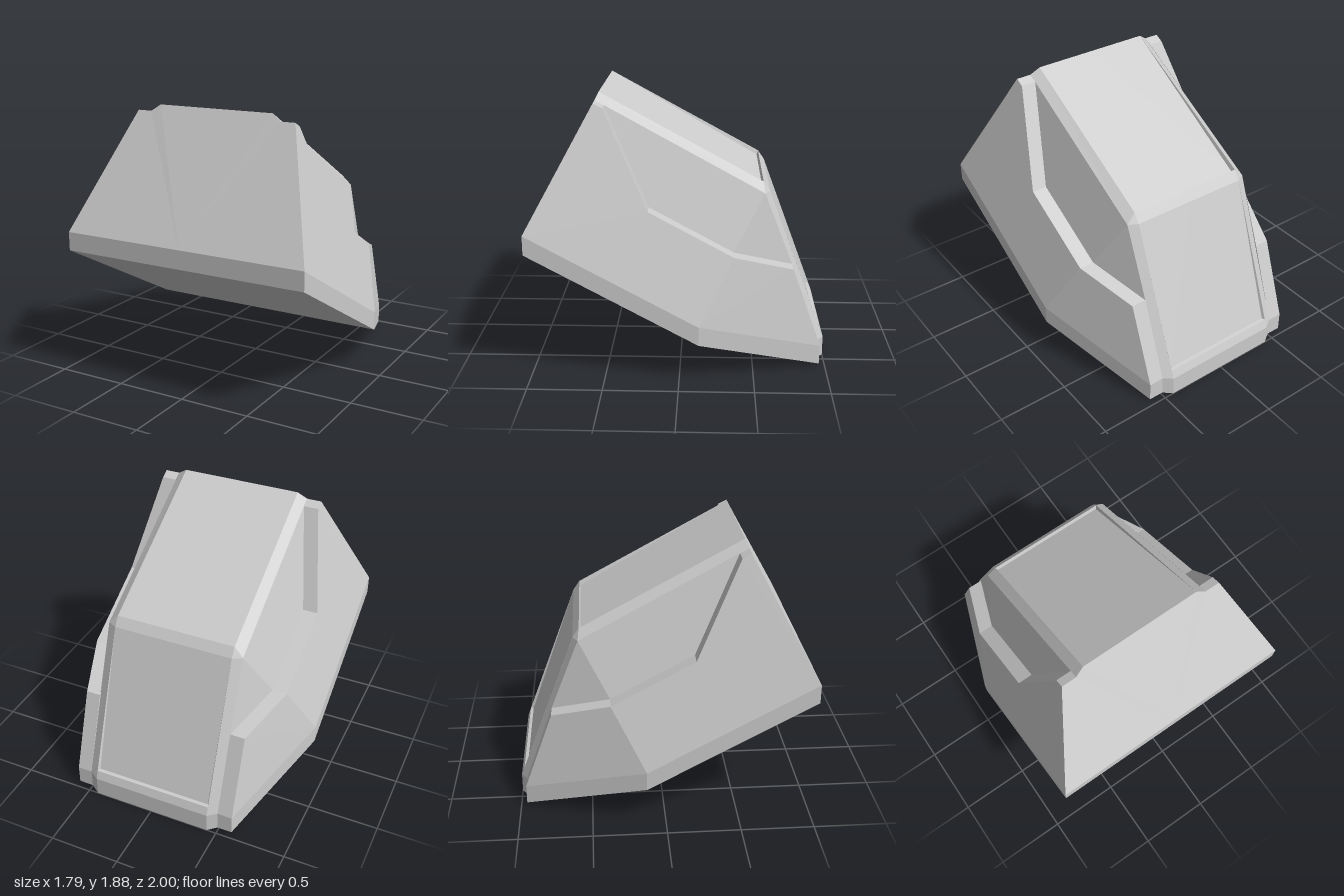
import * as THREE from 'three';

// Corner points of the model's left half (+x); the right half is mirrored.
const P = {
  // skirt, top and bottom edges
  skirtFront: [0.895, 1.03, 1], baseFront: [0.895, 0.9, 1],
  skirtMid: [0.895, 0.41, -0.13], baseMid: [0.895, 0.28, -0.13],
  skirtRear: [0.6, 0.15, -0.96], baseRear: [0.6, 0.015, -0.96],
  skirtIn: [0.495, 0.15, -0.96], baseIn: [0.495, 0.015, -0.96],
  skirtTail: [0.43, 0.14, -1], baseTail: [0.43, 0, -1],
  // top of the front face
  brow: [0.6, 1.83, 0.56], browIn: [0.495, 1.83, 0.56], browTop: [0.43, 1.875, 0.54],
  // rear end of the roof
  eave: [0.495, 1.21, -0.565], eaveLow: [0.43, 1.21, -0.6], eaveTop: [0.43, 1.275, -0.555],
  // sunk corners of the roof and rear panels
  roofSunk: [0.42, 1.245, -0.545], sill: [0.43, 0.2, -0.978], sillSunk: [0.42, 0.205, -0.955],
};
// Side opening: outer edge of its ledge, and the inner edge set inwards
const opening = [[0.6, 1.8, 0.5], [0.74, 1.15, 0.205], [0.74, 0.84, -0.36], [0.6, 0.71, -0.76]];
opening.forEach((p, i) => {
  P['out' + i] = p;
  P['in' + i] = [p[0] - 0.105, p[1], p[2]];
});

// A leading "-" puts a point on the centre line
const point = (name) => (name[0] === '-' ? [0, ...P[name.slice(1)].slice(1)] : P[name]);

// Faces are lists of corner names, counter-clockwise from outside
function part(name, faces) {
  const pos = [];
  for (const face of faces) {
    const c = face.split(' ').map(point);
    for (let i = 1; i < c.length - 1; i++) {
      pos.push(...c[0], ...c[i], ...c[i + 1]);
      for (const [x, y, z] of [c[0], c[i + 1], c[i]]) pos.push(-x, y, z);
    }
  }
  const geometry = new THREE.BufferGeometry();
  geometry.setAttribute('position', new THREE.Float32BufferAttribute(pos, 3));
  geometry.computeVertexNormals();
  const mesh = new THREE.Mesh(geometry, new THREE.MeshStandardMaterial({
    color: 0xcccccc, flatShading: true, side: THREE.DoubleSide,
  }));
  mesh.name = name;
  return mesh;
}

export function createModel() {
  const model = new THREE.Group();
  model.name = 'cabin';
  model.add(
    part('frontFace', ['-skirtFront skirtFront brow browIn browTop -browTop']),
    part('skirt', [
      '-baseFront baseFront skirtFront -skirtFront',
      'baseFront baseMid skirtMid skirtFront',
      'baseMid baseRear skirtRear skirtMid',
      'baseRear baseIn skirtIn skirtRear',
      'baseIn baseTail skirtTail skirtIn',
      'baseTail -baseTail -skirtTail skirtTail',
    ]),
    part('underside', [
      'baseFront -baseFront -baseMid baseMid',
      '-baseMid -baseTail baseTail baseIn baseRear baseMid',
    ]),
    part('outerSideWalls', [
      'skirtFront out1 out0 brow',
      'skirtFront skirtMid out2 out1',
      'skirtMid skirtRear out3 out2',
      'skirtRear skirtIn in3 out3',
    ]),
    part('openingLedges', [
      'brow out0 in0 browIn',
      ...[0, 1, 2].map((i) => `out${i} out${i + 1} in${i + 1} in${i}`),
    ]),
    part('innerSideWalls', ['in0 in1 in2 eave', 'in2 in3 eave']),
    // bevelled frame around the roof and rear panels
    part('frame', [
      'browTop browIn eave eaveTop',
      'eave eaveLow eaveTop',
      'eaveLow -eaveLow -eaveTop eaveTop',
      'skirtIn skirtTail eaveLow eave',
      'skirtTail -skirtTail -sill sill',
    ]),
    part('roofPanel', [
      '-browTop browTop roofSunk -roofSunk',
      'browTop eaveTop roofSunk',
      '-roofSunk roofSunk eaveTop -eaveTop',
    ]),
    part('rearPanel', [
      'sillSunk -sillSunk -eaveLow eaveLow',
      'eaveLow sill sillSunk',
      'sill -sill -sillSunk sillSunk',
    ]),
  );
  return model;
}
